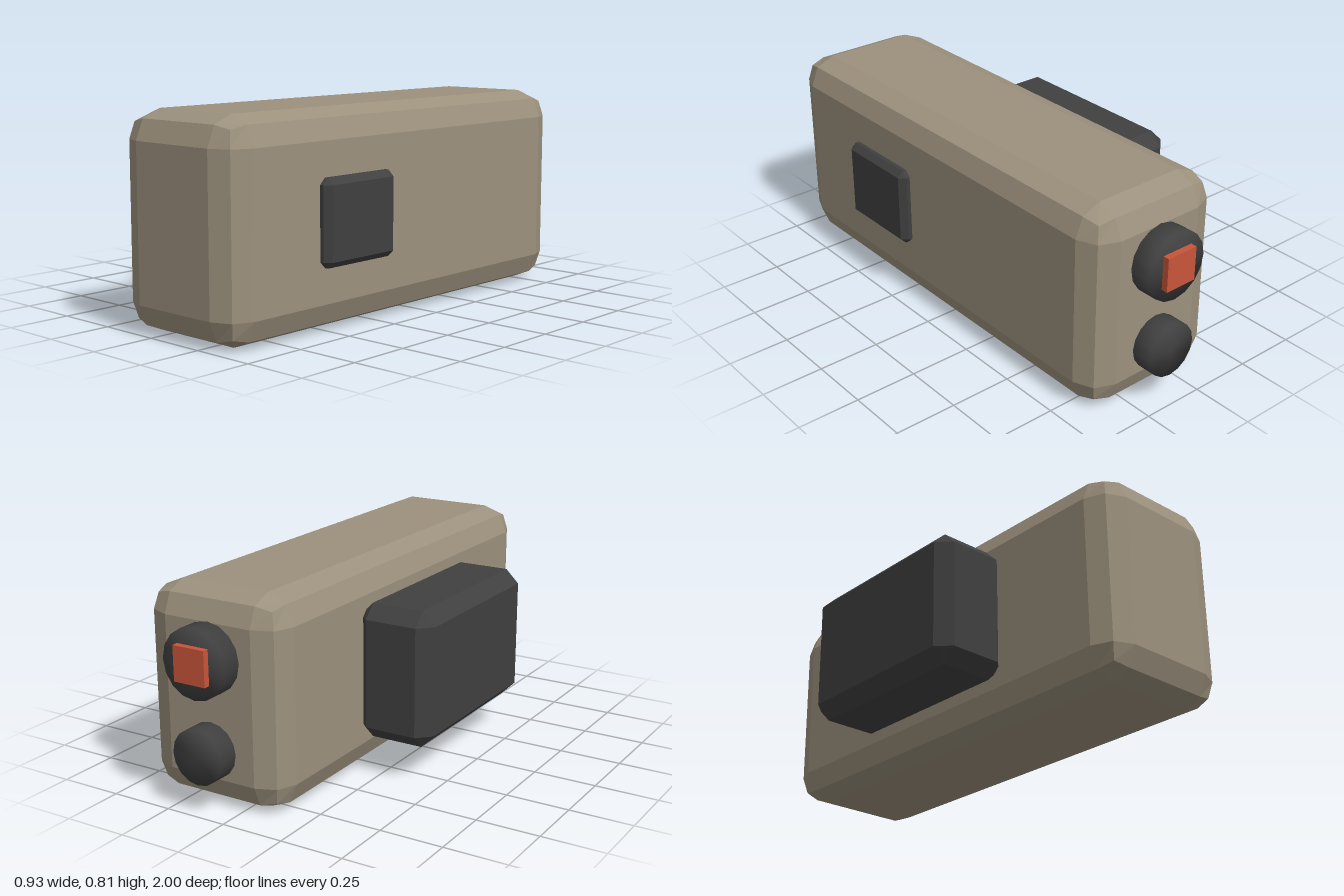
import * as THREE from 'three';
import { mergeVertices } from 'three/addons/utils/BufferGeometryUtils.js';
import { RoundedBoxGeometry } from 'three/addons/geometries/RoundedBoxGeometry.js';
import { ConvexGeometry } from 'three/addons/geometries/ConvexGeometry.js';

// Box with a single 45 degree chamfer of size c on all edges
function chamferedBox(w, h, d, c) {
  const half = [w / 2, h / 2, d / 2];
  const points = [];
  for (const sx of [-1, 1]) for (const sy of [-1, 1]) for (const sz of [-1, 1]) {
    for (let axis = 0; axis < 3; axis++) {
      const [x, y, z] = half.map((v, i) => (i === axis ? v : v - c));
      points.push(new THREE.Vector3(sx * x, sy * y, sz * z));
    }
  }
  return new ConvexGeometry(points);
}

// Short cylinder along z with normals blended over the rim
function softKnob(radius, depth) {
  const geometry = new THREE.CylinderGeometry(radius, radius, depth, 16);
  geometry.rotateX(-Math.PI / 2);
  geometry.deleteAttribute('uv');
  geometry.deleteAttribute('normal');
  const merged = mergeVertices(geometry, 1e-4);
  merged.computeVertexNormals();
  return merged;
}

export function createModel() {
  const group = new THREE.Group();
  const material = (name, color, flatShading = true) => {
    const m = new THREE.MeshStandardMaterial({ color, flatShading });
    m.name = name;
    return m;
  };
  const tan = material('tan', 0x9c917d);
  const charcoal = material('charcoal', 0x404040, false);
  const red = material('red', 0xc8553a);

  const add = (name, geometry, mat, x, y, z) => {
    const mesh = new THREE.Mesh(geometry, mat);
    mesh.name = name;
    mesh.position.set(x, y, z);
    group.add(mesh);
  };

  // Housing with two-step bevels
  add('body', new RoundedBoxGeometry(0.594, 0.812, 1.89, 1, 0.11), tan, 0.127, 0.406, 0.055);

  // Side blocks
  add('sideMount', chamferedBox(0.32, 0.538, 0.81, 0.054), charcoal, -0.305, 0.407, 0.05);
  add('sidePad', chamferedBox(0.08, 0.326, 0.376, 0.024), charcoal, 0.424, 0.408, 0.382);

  // Rear knobs and the switch on the upper one
  add('upperKnob', softKnob(0.135, 0.135), charcoal, 0.126, 0.57, -0.907);
  add('lowerKnob', softKnob(0.108, 0.135), charcoal, 0.126, 0.219, -0.907);
  add('switch', new THREE.BoxGeometry(0.135, 0.135, 0.054), red, 0.126, 0.57, -0.973);

  return group;
}
